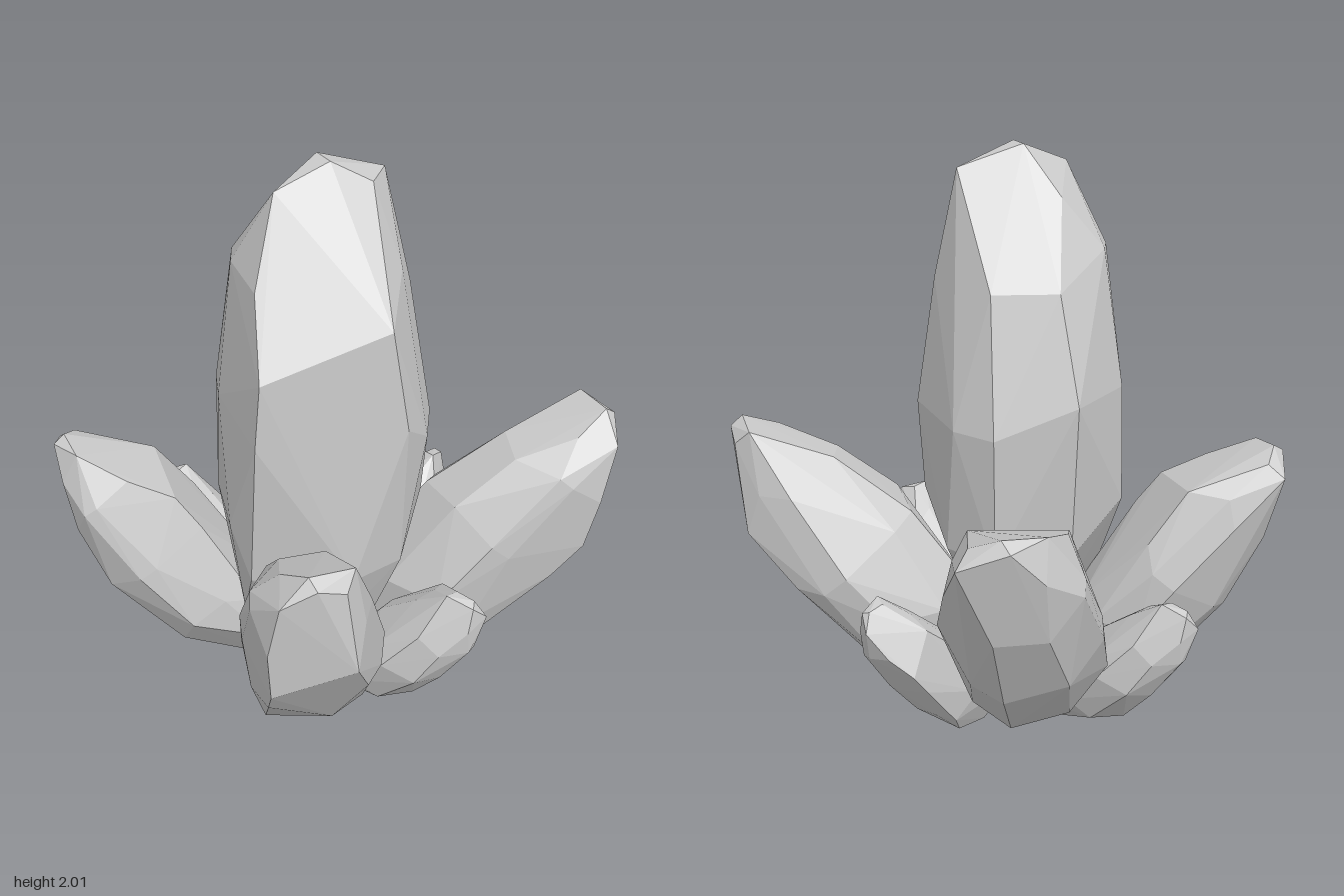
import * as THREE from 'three';
import { ConvexGeometry } from 'three/addons/geometries/ConvexGeometry.js';

// Corners of one faceted crystal, ring by ring: height, then [x, z] corners.
const TIP = [-0.03, 2, 0.1];
const RINGS = [
  // blunt tip
  [2.0, [-0.06, 0.06], [-0.02, 0.13]],
  [1.93, [0.11, 0.12], [0.15, 0], [-0.19, 0.19]],
  [1.84, [-0.19, 0]],
  // upper shoulder
  [1.67, [-0.33, 0.03], [-0.33, 0.12], [-0.25, 0.34], [0.2, 0.18]],
  [1.56, [0.165, 0.39], [0.02, -0.185], [-0.2, -0.15], [0.235, 0.05]],
  [1.43, [-0.24, 0.48]],
  // widest part
  [1.2, [-0.26, 0.48], [-0.4, 0.03], [-0.387, 0.15], [-0.27, -0.216], [0.22, 0.38]],
  [1.1, [0, -0.285], [0.144, -0.2], [0.31, 0.1], [0.29, 0.26]],
  [0.78, [-0.41, 0.06], [-0.36, 0.3], [0.29, 0.1]],
  // taper to the root
  [0.64, [-0.29, 0.42], [0.05, 0.43], [0.21, 0.32], [0, -0.25], [-0.25, -0.15], [0.18, -0.12]],
  [0.42, [-0.32, 0.3], [0.02, 0.36], [0, -0.15]],
  [0.13, [-0.09, 0.2], [0.045, 0.21], [0.02, 0.07], [-0.08, 0.08]],
];

// Crystals: name, tip position, lean, heading and twist in degrees, then scale.
const CRYSTALS = [
  ['mainCrystal', TIP, 0, 0, 0, [1, 1, 1]],
  ['frontCrystal', [-0.08, 1.045, 0.94], 35.5, 0, 0, [0.66, 0.66, 0.66]],
  ['leftCrystal', [0.94, 1.03, 0.01], 41.5, 90, 0, [0.69, 0.71, 0.68]],
  ['backCrystal', [-0.1, 1.04, -0.94], -41, 0, 0, [0.76, 0.71, 0.65]],
  ['rightCrystal', [-0.935, 0.985, 0.07], -36, 90, 0, [0.64, 0.63, 0.58]],
  ['smallFrontLeftCrystal', [0.44, 0.6, 0.51], 41, 56, 90, [0.43, 0.41, 0.43]],
  ['smallBackLeftCrystal', [0.4, 0.555, -0.455], 41, 135, 90, [0.37, 0.385, 0.37]],
  ['smallBackRightCrystal', [-0.64, 0.55, -0.345], 43, -119, 90, [0.4, 0.39, 0.4]],
];

export function createModel() {
  const group = new THREE.Group();
  group.name = 'crystalCluster';

  const corners = RINGS.flatMap(([y, ...ring]) => ring.map(([x, z]) => new THREE.Vector3(x, y, z)));
  const geometry = new ConvexGeometry(corners);
  geometry.translate(-TIP[0], -TIP[1], -TIP[2]); // pivot at the tip
  const material = new THREE.MeshStandardMaterial({ color: 0xcccccc, flatShading: true });

  for (const [name, tip, lean, heading, twist, scale] of CRYSTALS) {
    const crystal = new THREE.Mesh(geometry, material);
    crystal.name = name;
    crystal.position.set(...tip);
    crystal.rotation.set(THREE.MathUtils.degToRad(lean), THREE.MathUtils.degToRad(heading), 0, 'YXZ');
    crystal.rotateY(THREE.MathUtils.degToRad(twist)); // turn about its own axis
    crystal.scale.set(...scale);
    group.add(crystal);
  }
  return group;
}
